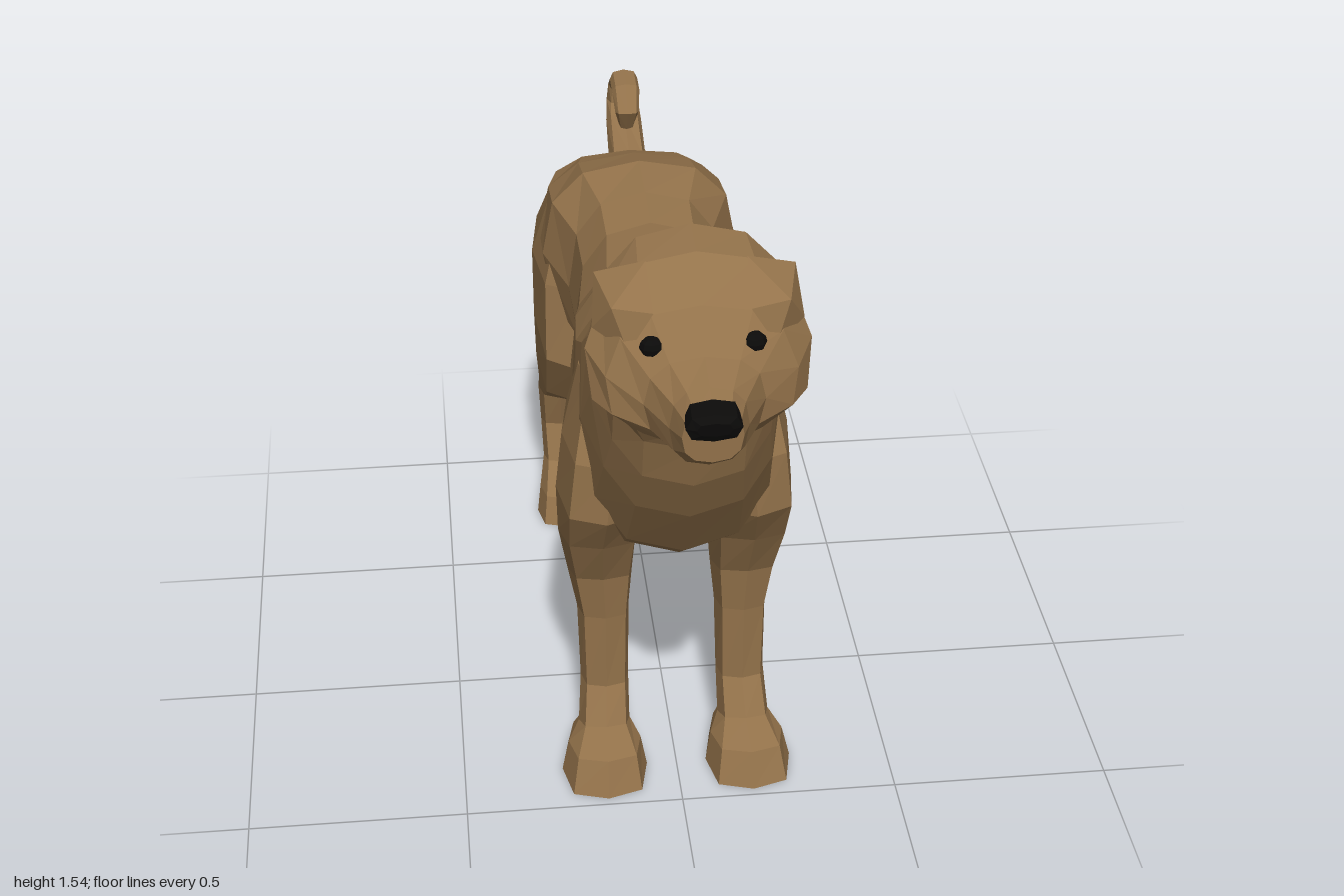
import * as THREE from 'three';
import { ConvexGeometry } from 'three/addons/geometries/ConvexGeometry.js';

// Loft through rings. Each ring spans two profile points (z, y):
// [zA, yA, zB, yB, halfWidth, centreX = 0, skew = 0]; skew > 0 widens the A end.
function loft(sections, sides, power = 0.8) {
  const rings = sections.map(([za, ya, zb, yb, hw, cx = 0, skew = 0]) => {
    const ring = [];
    for (let i = 0; i < sides; i++) {
      const a = (i / sides) * Math.PI * 2;
      const c = Math.cos(a), s = Math.sin(a);
      const u = Math.sign(c) * Math.abs(c) ** power;
      const v = Math.sign(s) * Math.abs(s) ** power;
      const t = (1 - v) / 2;
      ring.push(new THREE.Vector3(cx + hw * u * (1 + skew * v), ya + (yb - ya) * t, za + (zb - za) * t));
    }
    return ring;
  });
  const tris = [];
  for (let r = 0; r < rings.length - 1; r++) {
    for (let i = 0; i < sides; i++) {
      const j = (i + 1) % sides;
      const [a, b, c, d] = [rings[r][i], rings[r][j], rings[r + 1][j], rings[r + 1][i]];
      tris.push([a, b, c], [a, c, d]);
    }
  }
  // End caps
  const first = rings[0], last = rings[rings.length - 1];
  for (let i = 1; i < sides - 1; i++) {
    tris.push([first[0], first[i + 1], first[i]], [last[0], last[i], last[i + 1]]);
  }
  // Turn all faces outward
  const cross = new THREE.Vector3();
  const volume = tris.reduce((sum, [a, b, c]) => sum + a.dot(cross.crossVectors(b, c)), 0);
  const points = tris.flatMap(([a, b, c]) => (volume < 0 ? [a, c, b] : [a, b, c]));
  const geometry = new THREE.BufferGeometry().setFromPoints(points);
  geometry.computeVertexNormals();
  return geometry;
}

export function createModel() {
  const group = new THREE.Group();
  group.name = 'dog';
  const fur = new THREE.MeshStandardMaterial({ color: 0x94734b, flatShading: true });
  fur.name = 'brown fur';
  const black = new THREE.MeshStandardMaterial({ color: 0x0c0b0a, flatShading: true });
  black.name = 'black';

  const add = (name, geometry, material = fur) => {
    const mesh = new THREE.Mesh(geometry, material);
    mesh.name = name;
    group.add(mesh);
    return mesh;
  };

  // Torso and neck, rump to nape
  const nape = [0.57, 1.54, 0.74, 1.16, 0.21, 0, -0.1];
  add('torso', loft([
    [-0.80, 1.03, -0.845, 0.86, 0.17],
    [-0.77, 1.06, -0.81, 0.80, 0.21],
    [-0.65, 1.11, -0.65, 0.72, 0.24],
    [-0.50, 1.16, -0.50, 0.68, 0.24],
    [-0.36, 1.145, -0.38, 0.64, 0.185],
    [-0.23, 1.13, -0.23, 0.625, 0.18],
    [-0.05, 1.14, -0.06, 0.575, 0.205],
    [0.06, 1.19, 0.06, 0.555, 0.21, 0, 0.1],
    [0.18, 1.20, 0.22, 0.57, 0.22, 0, 0.1],
    [0.26, 1.25, 0.40, 0.63, 0.22, 0, 0.05],
    [0.33, 1.31, 0.48, 0.69, 0.215],
    [0.40, 1.375, 0.60, 0.86, 0.20],
    [0.46, 1.43, 0.665, 0.98, 0.185],
    [0.52, 1.49, 0.70, 1.09, 0.185],
    nape,
  ], 12));

  // Head and muzzle
  add('head', loft([
    nape,
    [0.67, 1.53, 0.78, 1.185, 0.225, 0, -0.12],
    [0.77, 1.465, 0.81, 1.19, 0.19, 0, -0.1],
    [0.83, 1.385, 0.84, 1.19, 0.12],
    [0.91, 1.365, 0.91, 1.19, 0.078],
    [0.97, 1.35, 0.965, 1.23, 0.06],
  ], 12));

  add('nose', loft([
    [0.95, 1.362, 0.955, 1.29, 0.055],
    [0.988, 1.35, 0.982, 1.288, 0.055],
    [1.0, 1.338, 0.992, 1.305, 0.035],
  ], 8, 0.7), black);

  // Curled tail, from root to tip
  add('tail', loft([
    [-0.77, 1.05, -0.82, 0.945, 0.048],
    [-0.90, 1.10, -0.945, 1.05, 0.045],
    [-0.93, 1.115, -1.0, 1.115, 0.04],
    [-0.935, 1.145, -0.975, 1.18, 0.036],
    [-0.91, 1.17, -0.92, 1.215, 0.035],
    [-0.865, 1.165, -0.845, 1.207, 0.035],
    [-0.845, 1.14, -0.80, 1.145, 0.03],
    [-0.85, 1.115, -0.83, 1.09, 0.02],
  ], 8));

  for (const [side, m] of [['left', 1], ['right', -1]]) {
    // Front leg, shoulder to paw
    add(side + 'FrontLeg', loft([
      [0.40, 1.08, 0.17, 1.05, 0.07, 0.14 * m],
      [0.47, 0.90, 0.13, 0.90, 0.10, 0.15 * m],
      [0.47, 0.76, 0.10, 0.74, 0.10, 0.165 * m],
      [0.40, 0.65, 0.085, 0.56, 0.09, 0.17 * m],
      [0.335, 0.52, 0.13, 0.46, 0.075, 0.165 * m],
      [0.32, 0.40, 0.16, 0.375, 0.06, 0.16 * m],
      [0.315, 0.20, 0.20, 0.20, 0.056, 0.16 * m],
      [0.36, 0.115, 0.23, 0.07, 0.06, 0.165 * m],
      [0.45, 0.085, 0.235, 0.05, 0.085, 0.168 * m],
      [0.48, 0, 0.24, 0, 0.10, 0.17 * m],
    ], 8, 0.65));

    // Hind leg, thigh over hock to paw
    add(side + 'HindLeg', loft([
      [-0.45, 1.02, -0.77, 0.99, 0.09, 0.13 * m],
      [-0.42, 0.85, -0.845, 0.87, 0.11, 0.15 * m],
      [-0.40, 0.64, -0.85, 0.72, 0.095, 0.165 * m],
      [-0.50, 0.49, -0.855, 0.58, 0.085, 0.17 * m],
      [-0.64, 0.41, -0.86, 0.43, 0.068, 0.178 * m],
      [-0.78, 0.335, -0.952, 0.31, 0.055, 0.188 * m],
      [-0.81, 0.23, -0.925, 0.20, 0.05, 0.188 * m],
      [-0.775, 0.13, -0.895, 0.11, 0.05, 0.185 * m],
      [-0.675, 0.075, -0.86, 0.05, 0.065, 0.185 * m],
      [-0.65, 0, -0.83, 0, 0.075, 0.185 * m],
    ], 8, 0.65));

    // Folded ear flap
    add(side + 'Ear', new ConvexGeometry([
      [0.10, 1.52, 0.68], [0.20, 1.485, 0.65], [0.21, 1.40, 0.72],
      [0.145, 1.38, 0.79], [0.095, 1.46, 0.785], [0.175, 1.465, 0.765], [0.12, 1.42, 0.73],
    ].map(([x, y, z]) => new THREE.Vector3(x * m, y, z))));

    const eye = add(side + 'Eye', new THREE.SphereGeometry(0.025, 8, 6), black);
    eye.position.set(0.1 * m, 1.395, 0.798);
    eye.scale.set(1, 0.9, 0.8);
  }
  return group;
}
